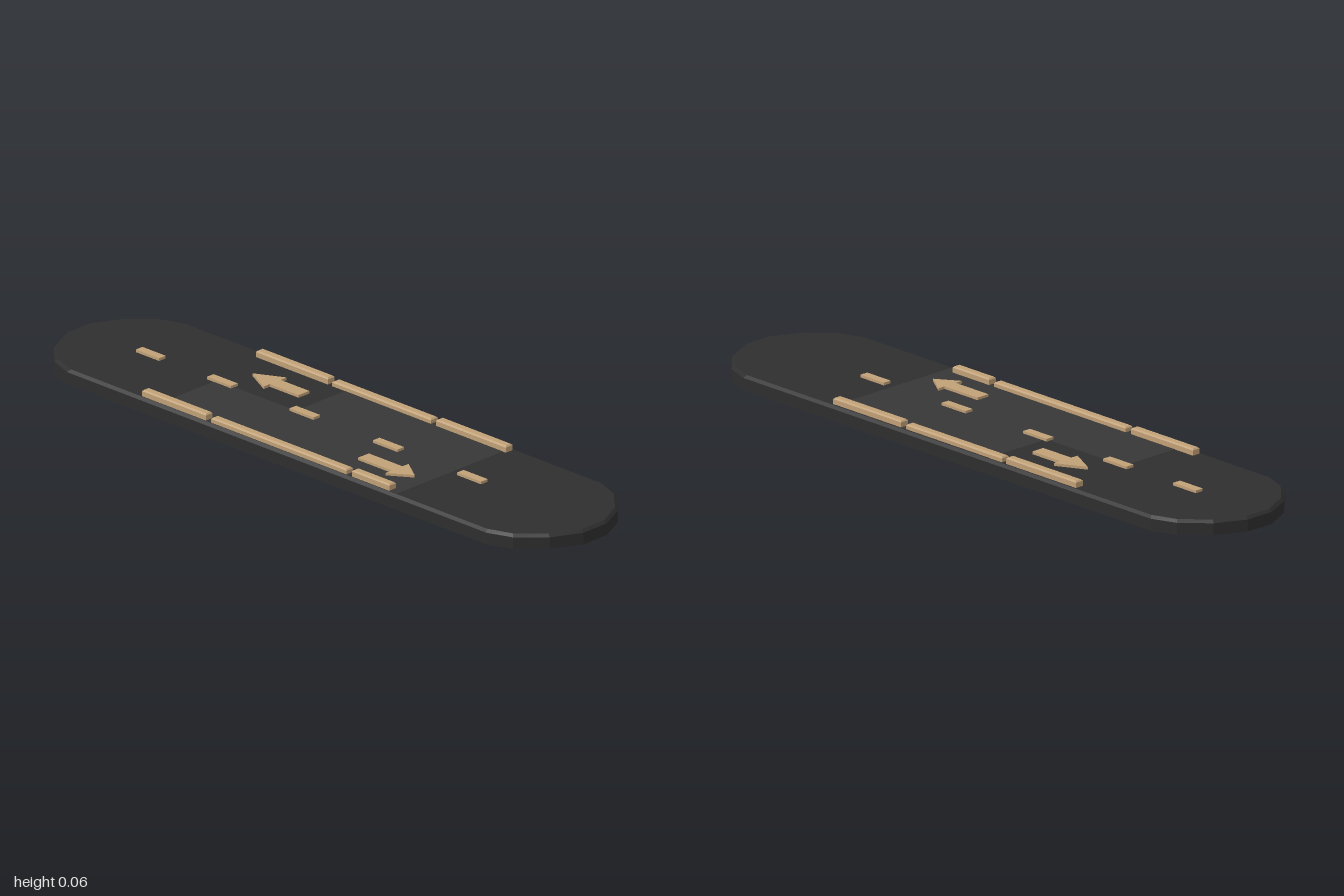
import * as THREE from 'three';

const DECK = 0.043;
const material = (color) => new THREE.MeshStandardMaterial({ color, side: THREE.DoubleSide, flatShading: true });

// Open-bottomed shell: an [x, z] outline lofted through [y, inset] levels and capped on top.
function shell(outline, levels) {
  let pts = outline.map(([x, z]) => new THREE.Vector2(x, -z));
  if (THREE.ShapeUtils.isClockWise(pts)) pts = pts.reverse();
  const box = new THREE.Box2().setFromPoints(pts);
  const c = box.getCenter(new THREE.Vector2());
  const half = box.getSize(new THREE.Vector2()).multiplyScalar(0.5);
  const rings = levels.map(([y, inset]) => pts.map((p) => [
    c.x + (p.x - c.x) * (1 - inset / half.x),
    y,
    -(c.y + (p.y - c.y) * (1 - inset / half.y)),
  ]));
  const pos = [];
  for (let k = 0; k < rings.length - 1; k++) {
    const low = rings[k], high = rings[k + 1];
    for (let i = 0; i < pts.length; i++) {
      const j = (i + 1) % pts.length;
      pos.push(...low[i], ...low[j], ...high[j], ...low[i], ...high[j], ...high[i]);
    }
  }
  const top = rings[rings.length - 1];
  for (const [a, b, d] of THREE.ShapeUtils.triangulateShape(pts, [])) pos.push(...top[a], ...top[b], ...top[d]);
  const geo = new THREE.BufferGeometry();
  geo.setAttribute('position', new THREE.Float32BufferAttribute(pos, 3));
  geo.computeVertexNormals();
  return geo;
}

const rect = (x0, x1, z0, z1) => [[x0, z0], [x1, z0], [x1, z1], [x0, z1]];

// Arrow along z from tail to tip, head starting at neck
const arrow = (x, tail, neck, tip) => [
  [x - 0.021, tail], [x + 0.021, tail], [x + 0.021, neck], [x + 0.045, neck],
  [x, tip], [x - 0.045, neck], [x - 0.021, neck],
];

export function createModel() {
  const group = new THREE.Group();
  const asphalt = material(0x2e2e2e), newAsphalt = material(0x373737), tan = material(0xc0a077);
  const add = (name, geo, mat) => {
    const mesh = new THREE.Mesh(geo, mat);
    mesh.name = name;
    group.add(mesh);
  };

  // Road slab: long sides with faceted round ends and a chamfered top edge
  const corner = [[0.233, 0.81], [0.205, 0.885], [0.135, 0.957], [0.045, 1]];
  const flip = (sx, sz) => corner.map(([x, z]) => [x * sx, z * sz]);
  const outline = [
    ...flip(1, 1), ...flip(-1, 1).reverse(), ...flip(-1, -1), ...flip(1, -1).reverse(),
  ];
  add('roadSlab', shell(outline, [[0, 0], [0.035, 0], [DECK, 0.008]]), asphalt);

  // Lighter L-shaped resurfaced area
  const patch = [[-0.222, -0.46], [0, -0.46], [0, -0.155], [0.222, -0.155], [0.222, 0.455], [-0.222, 0.455]];
  add('roadPatch', shell(patch, [[DECK - 0.0008, 0], [DECK + 0.0006, 0]]), newAsphalt);

  // Centre line dashes and lane arrows
  const raised = [[DECK - 0.003, 0], [0.051, 0]];
  [[-0.76, -0.67], [-0.485, -0.392], [-0.167, -0.074], [0.155, 0.25], [0.48, 0.573]].forEach(([a, b]) =>
    add('centreDash', shell(rect(-0.013, 0.013, a, b), raised), tan));
  add('leftArrow', shell(arrow(0.092, -0.214, -0.325, -0.413), raised), tan);
  add('rightArrow', shell(arrow(-0.108, 0.212, 0.342, 0.41), raised), tan);

  // Chamfered kerbs, with the middle length slightly lower
  const kerbs = (name, x0, x1, spans) => spans.forEach(([a, b], i) => {
    const h = i === 1 ? 0.058 : 0.062;
    add(name, shell(rect(x0, x1, a, b), [[DECK - 0.003, 0], [h - 0.004, 0], [h, 0.004]]), tan);
  });
  kerbs('leftKerb', 0.194, 0.221, [[-0.5, -0.222], [-0.205, 0.176], [0.195, 0.465]]);
  kerbs('rightKerb', -0.223, -0.197, [[-0.53, -0.283], [-0.263, 0.26], [0.28, 0.425]]);

  return group;
}
